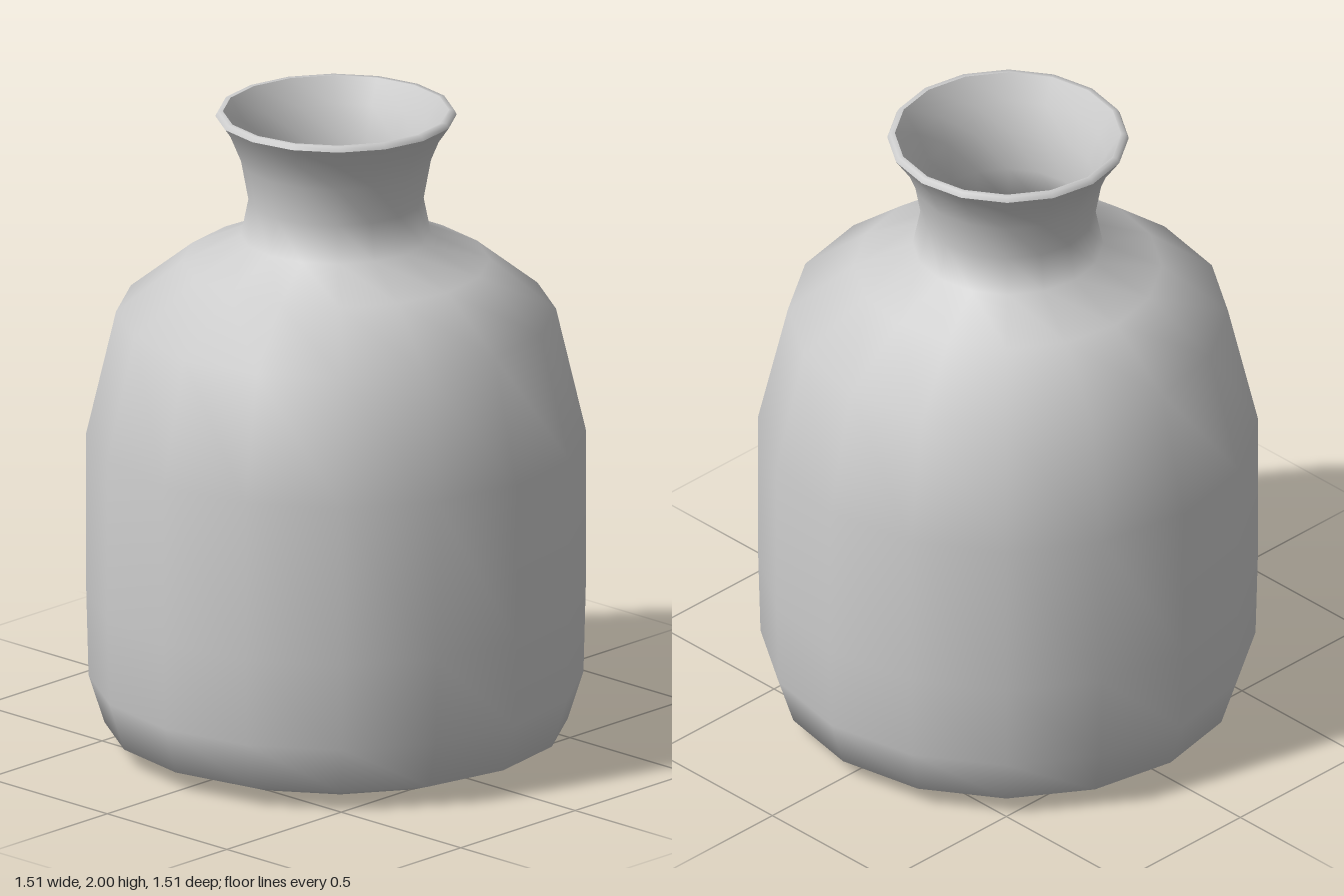
import * as THREE from 'three';

const SIDES = 16;

// Revolves a list of [radius, height] pairs; listed upward, the surface faces outward
function lathe(name, profile, material) {
  const points = profile.map(([r, y]) => new THREE.Vector2(r, y));
  const mesh = new THREE.Mesh(new THREE.LatheGeometry(points, SIDES), material);
  mesh.name = name;
  return mesh;
}

export function createModel() {
  const group = new THREE.Group();
  group.name = 'vase';
  const clay = new THREE.MeshStandardMaterial({ color: 0xcccccc });

  // Outside: base, rounded foot, body, shoulder, flared neck
  const outer = [
    [0, 0], [0.43, 0.005], [0.59, 0.018], [0.7, 0.06], [0.748, 0.21], [0.755, 0.48],
    [0.755, 0.98], [0.665, 1.365], [0.465, 1.525], [0.288, 1.605],
    [0.265, 1.72], [0.287, 1.84], [0.32, 1.92], [0.365, 1.985],
  ];

  // Narrow bevel and flat top of the lip
  const rim = [[0.365, 1.985], [0.357, 2], [0.342, 2]];

  // Inside: down the throat and along the hollow to a flat floor
  const inner = [
    [0.342, 2], [0.297, 1.925], [0.262, 1.84], [0.238, 1.72], [0.262, 1.585],
    [0.45, 1.5], [0.64, 1.35], [0.727, 0.975], [0.727, 0.48],
    [0.72, 0.22], [0.68, 0.085], [0.58, 0.045], [0.43, 0.032], [0, 0.03],
  ];

  group.add(
    lathe('outerWall', outer, clay),
    lathe('rim', rim, clay),
    lathe('innerWall', inner, clay),
  );
  return group;
}
